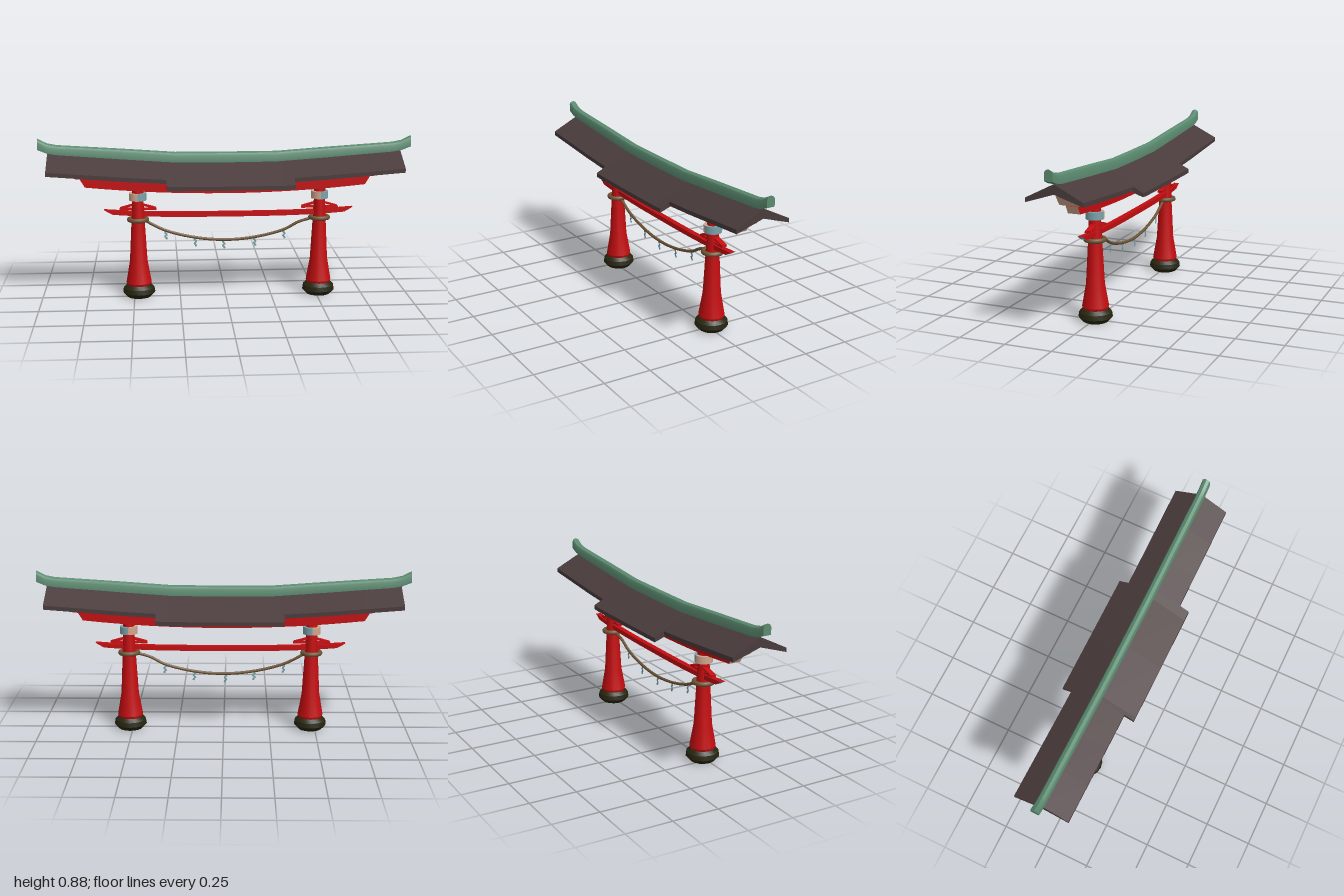
import * as THREE from 'three';
import { toCreasedNormals } from 'three/addons/utils/BufferGeometryUtils.js';

const mat = (name, color, side = THREE.FrontSide) => {
  const m = new THREE.MeshStandardMaterial({ color, side });
  m.name = name;
  return m;
};

// Joins equal-length cross-sections of [x, y, z] points; group 0 = sides, group 1 = end caps
function loft(sections) {
  const pos = [];
  const tri = (a, b, c) => pos.push(...a, ...b, ...c);
  const n = sections[0].length;
  for (let i = 0; i < sections.length - 1; i++) {
    const s = sections[i], t = sections[i + 1];
    for (let j = 0; j < n; j++) {
      const k = (j + 1) % n;
      tri(s[j], s[k], t[k]);
      tri(s[j], t[k], t[j]);
    }
  }
  const sideCount = pos.length / 3;
  const first = sections[0], last = sections[sections.length - 1];
  for (let j = 1; j < n - 1; j++) {
    tri(first[0], first[j + 1], first[j]);
    tri(last[0], last[j], last[j + 1]);
  }
  const g = new THREE.BufferGeometry();
  g.setAttribute('position', new THREE.Float32BufferAttribute(pos, 3));
  g.addGroup(0, sideCount, 0);
  g.addGroup(sideCount, pos.length / 3 - sideCount, 1);
  g.computeVertexNormals();
  return g;
}

// Piecewise-linear lookup in a list of [x, y]
function lookup(table, x) {
  for (let i = 1; i < table.length; i++) {
    const [x0, y0] = table[i - 1], [x1, y1] = table[i];
    if (x <= x1) return y0 + (y1 - y0) * (x - x0) / (x1 - x0);
  }
  return table[table.length - 1][1];
}

export function createModel() {
  const root = new THREE.Group();
  root.name = 'shrineGate';
  const red = mat('vermilion paint', 0xc40d10);
  const roofMat = mat('dark roof', 0x4a3b3c);
  const green = mat('green ridge', 0x5b8b70);
  const stone = mat('dark stone', 0x27250f);
  const ropeMat = mat('straw rope', 0x6f5536);
  const wood = mat('pale wood', 0xd2a78f);
  const teal = mat('faded teal', 0x7ba3aa, THREE.DoubleSide);
  const add = (name, geo, material, parent = root) => {
    const m = new THREE.Mesh(geo, material);
    m.name = name;
    parent.add(m);
    return m;
  };
  const CZ = -0.01, CX = 0.018;

  // Roof: tapered chevron, wider in the middle
  const roofLine = [[0, 0.75], [0.3, 0.751], [0.53, 0.765], [0.95, 0.798]];
  const roofPart = (name, xs, w) => add(name, loft(xs.map((x) => {
    const y = lookup(roofLine, Math.abs(x)), eave = y - w * 0.505;
    return [
      [x, y - 0.05, 0], [x, eave - 0.022, -w], [x, eave, -w],
      [x, y, 0], [x, eave, w], [x, eave - 0.022, w],
    ];
  })), [roofMat, roofMat]);
  roofPart('roofRight', [-0.95, -0.74, -0.53, -0.32], 0.151);
  roofPart('roofMiddle', [-0.32, -0.3, 0, 0.3, 0.355], 0.205);
  roofPart('roofLeft', [0.355, 0.53, 0.74, 0.947], 0.151);

  // Ridge with upturned ends: [x, bottom, top]
  const half = [[0, 0.743, 0.799], [0.27, 0.745, 0.8], [0.55, 0.765, 0.82],
    [0.9, 0.792, 0.843], [0.95, 0.8, 0.853], [1, 0.82, 0.878]];
  const ridge = [...half.slice(1).reverse().map(([x, b, t]) => [-x, b, t]), ...half];
  add('ridge', toCreasedNormals(loft(ridge.map(([x, b, t]) => [
    [x, b, -0.022], [x, t - 0.02, -0.022], [x, t - 0.007, -0.016], [x, t, 0],
    [x, t - 0.007, 0.016], [x, t - 0.02, 0.022], [x, b, 0.022],
  ])), 0.6), green);

  // Upward-curving beams with slanted ends
  const beam = (name, L, cx, y0, rise, h, z0, z1, slant, capMat, power = 2) => {
    const sections = [];
    for (let i = -8; i <= 8; i++) {
      const u = i / 8, x = cx + u * L;
      const y = y0 + rise * Math.abs(u) ** power;
      const xb = x - u * slant;
      sections.push([[xb, y, z0], [x, y + h, z0], [x, y + h, z1], [xb, y, z1]]);
    }
    add(name, loft(sections), [red, capMat]);
  };
  beam('upperBeam', 0.845, 0, 0.62, 0.045, 0.05, -0.065, 0.042, 0.04, wood);
  beam('lowerBeam', 0.78, 0, 0.575, 0.04, 0.042, -0.043, 0.022, 0.025, wood);
  beam('tieBeam', 0.675, CX, 0.442, 0.018, 0.026, -0.026, 0.004, 0.045, teal, 3);

  // Pillars with footing, band, rope ring and wedges
  const lathe = (pts, crease) => toCreasedNormals(
    new THREE.LatheGeometry(pts.map(([r, y]) => new THREE.Vector2(r, y)), 16), crease);
  for (const x of [-0.475, 0.513]) {
    const p = new THREE.Group();
    p.name = x < 0 ? 'rightPillar' : 'leftPillar';
    p.position.set(x, 0, CZ);
    root.add(p);
    add('pillarShaft', lathe([[0, 0.03], [0.062, 0.06], [0.069, 0.08], [0.048, 0.2],
      [0.037, 0.4], [0.031, 0.53], [0.031, 0.62]], 0.5), red, p);
    add('footing', lathe([[0.035, 0.035], [0.035, 0], [0.065, 0], [0.088, 0.025],
      [0.084, 0.05], [0.066, 0.068], [0.03, 0.068]], 0.4), stone, p);
    // Two-coloured band: one half facing each end of the gate
    for (const [name, start, m] of [['bandTeal', 0, teal], ['bandWood', Math.PI, wood]]) {
      const band = new THREE.CylinderGeometry(0.047, 0.047, 0.04, 10, 1, false, start, Math.PI);
      add(name, band, m, p).position.y = 0.557;
    }
    const ring = add('ropeRing', new THREE.TorusGeometry(0.048, 0.0125, 8, 20), ropeMat, p);
    ring.rotation.x = Math.PI / 2;
    ring.position.y = 0.43;
    // Sloping wedges on both sides of the shaft
    for (const s of [-1, 1]) {
      const wedge = add('wedge', new THREE.BoxGeometry(0.08, 0.008, 0.03), red, p);
      wedge.position.set(s * 0.058, 0.502, -0.005);
      wedge.rotation.z = -s * 0.27;
    }
    add('wedgeBase', new THREE.BoxGeometry(0.2, 0.008, 0.026), red, p).position.set(0, 0.488, -0.002);
  }

  // Sagging rope
  const ropePts = [[-0.44, 0.427], [-0.4, 0.402], [-0.32, 0.364], [-0.165, 0.325], [0, 0.31],
    [0.16, 0.323], [0.32, 0.363], [0.4, 0.405], [0.48, 0.428]];
  const curve = new THREE.CatmullRomCurve3(ropePts.map(([x, y]) => new THREE.Vector3(x, y, CZ)));
  add('rope', new THREE.TubeGeometry(curve, 40, 0.008, 8), ropeMat);

  // Zigzag paper streamers
  for (const x of [-0.325, -0.165, -0.01, 0.16, 0.32]) {
    const streamer = new THREE.Group();
    streamer.name = 'streamer';
    streamer.position.set(x, lookup(ropePts, x) - 0.006, CZ);
    root.add(streamer);
    for (let i = 0; i < 4; i++) {
      const fold = add('streamerFold', new THREE.BoxGeometry(0.011, 0.012, 0.003), teal, streamer);
      fold.position.set(i % 2 ? 0.003 : -0.003, -0.006 - i * 0.011, 0);
      fold.rotation.z = i % 2 ? 0.3 : -0.3;
    }
  }
  return root;
}
